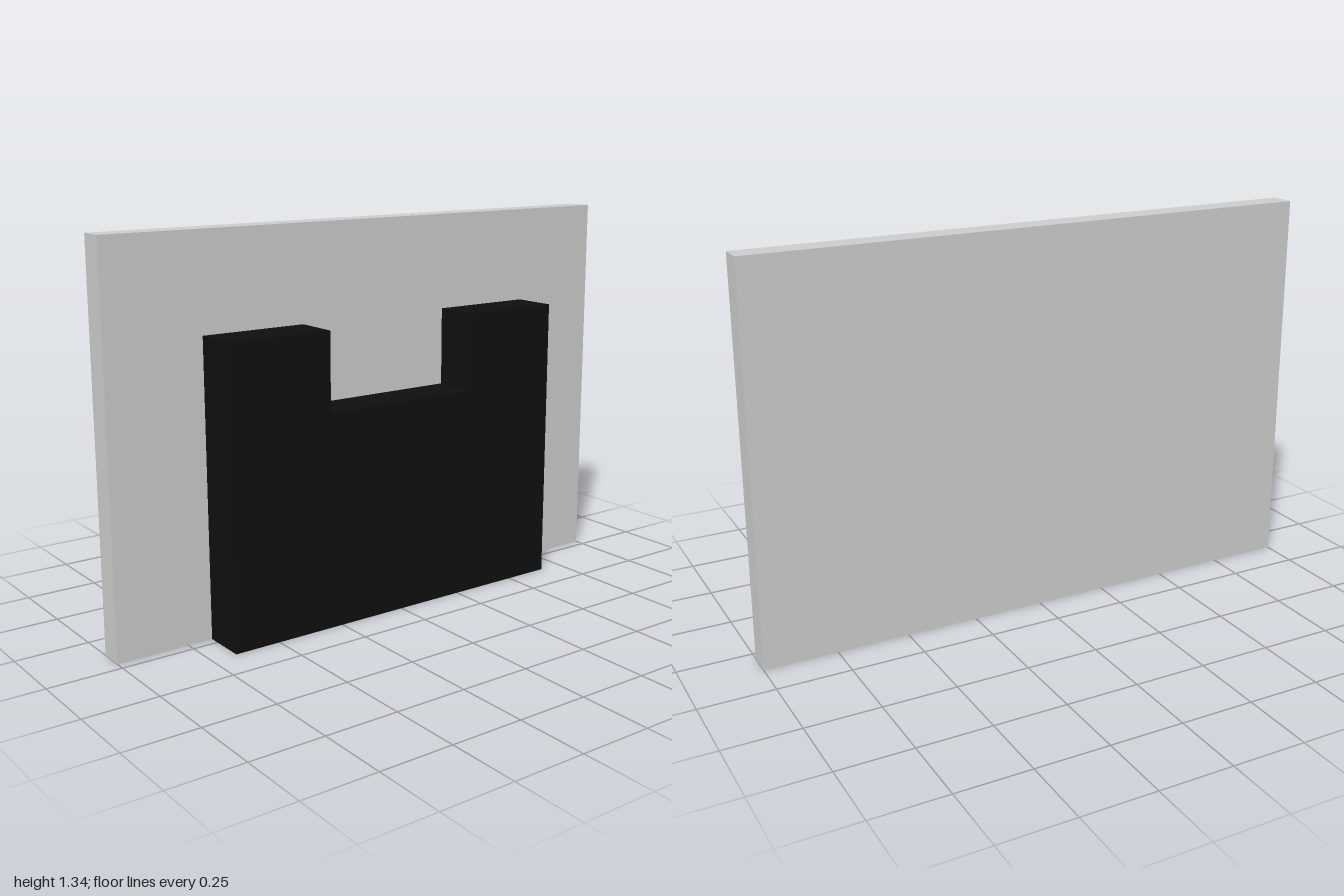
import * as THREE from 'three';

export function createModel() {
  const model = new THREE.Group();
  const grey = new THREE.MeshStandardMaterial({ color: 0xcccccc });
  const black = new THREE.MeshStandardMaterial({ color: 0x0f0f0f });
  const back = -0.12, joint = -0.035, front = 0.12;

  // Flat upright backing panel
  const height = 1.335;
  const panel = new THREE.Mesh(new THREE.BoxGeometry(2, height, joint - back), grey);
  panel.name = 'backPanel';
  panel.position.set(0, height / 2, (back + joint) / 2);
  model.add(panel);

  // Raised block with a rectangular notch in its top edge
  const outline = [
    [-0.663, 0], [0.663, 0], [0.663, 1.005], [0.293, 1.005],
    [0.293, 0.735], [-0.29, 0.735], [-0.29, 1.005], [-0.663, 1.005],
  ].map(([x, y]) => new THREE.Vector2(x, y));
  const block = new THREE.Mesh(
    new THREE.ExtrudeGeometry(new THREE.Shape(outline), { depth: front - joint, bevelEnabled: false }),
    black
  );
  block.name = 'notchedBlock';
  block.position.z = joint;
  model.add(block);

  return model;
}
